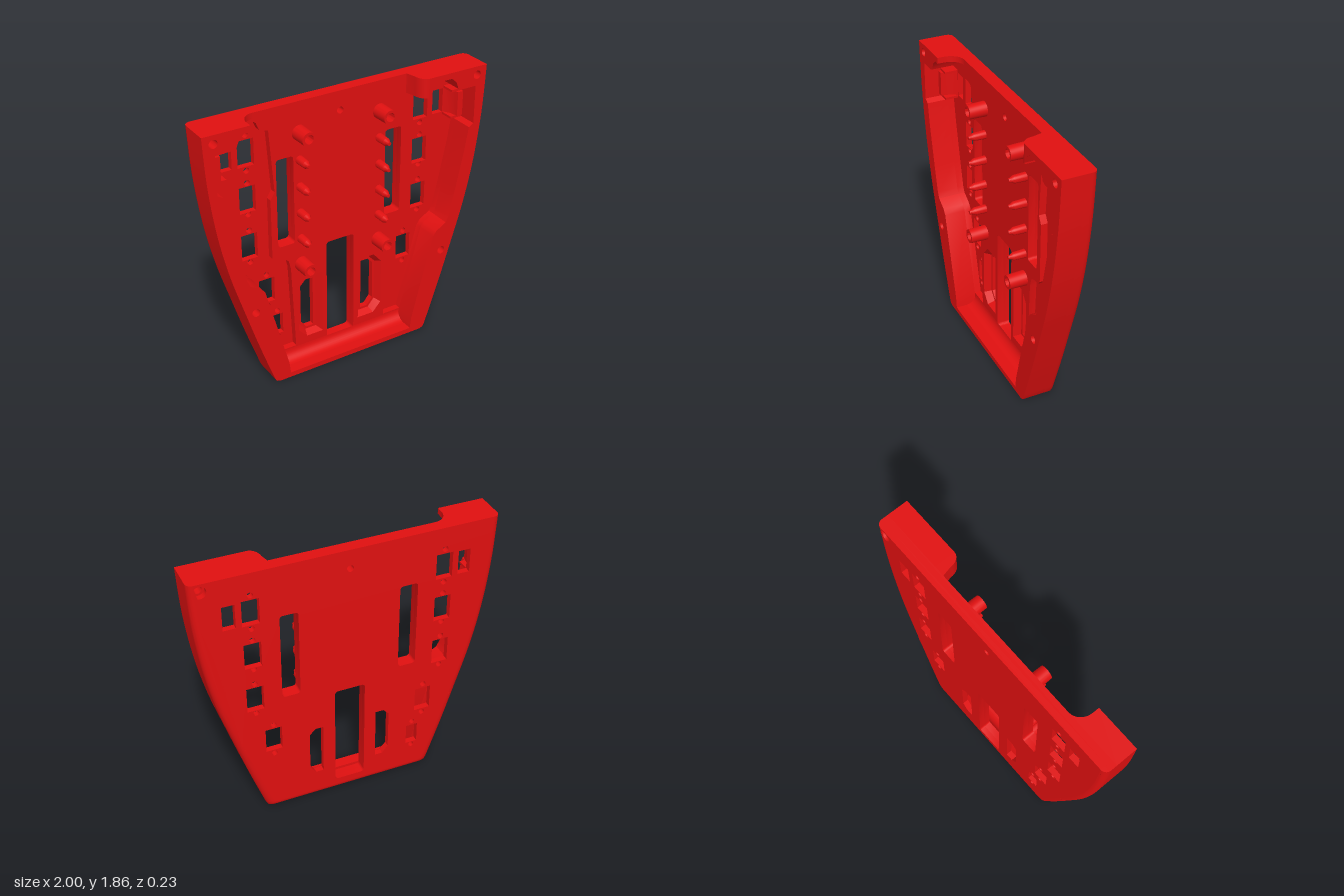
import * as THREE from 'three';
import { toCreasedNormals } from 'three/addons/utils/BufferGeometryUtils.js';

const H = 1.86, BACK = -0.115, POCKET = -0.075, FLOOR = -0.03, FRONT = 0.115;
const red = new THREE.MeshStandardMaterial({ color: 0xe01010 });
const redThin = new THREE.MeshStandardMaterial({ color: 0xe01010, side: THREE.DoubleSide });

const V = (p) => new THREE.Vector2(p[0], p[1]);
const mirror = (pts) => pts.map(([x, y]) => [-x, y]);
const rect = (x0, x1, y0, y1) => [[x0, y0], [x1, y0], [x1, y1], [x0, y1]];
const circle = (x, y, r, n = 24) => Array.from({ length: n }, (_, i) => {
  const a = (i / n) * Math.PI * 2;
  return [x + r * Math.cos(a), y + r * Math.sin(a)];
});
const roundRect = (x0, x1, y0, y1, r) => {
  const out = [];
  [[x1 - r, y1 - r], [x0 + r, y1 - r], [x0 + r, y0 + r], [x1 - r, y0 + r]].forEach(([cx, cy], q) => {
    for (let i = 0; i <= 5; i++) {
      const a = (q + i / 5) * Math.PI / 2;
      out.push([cx + r * Math.cos(a), cy + r * Math.sin(a)]);
    }
  });
  return out;
};

// Flat slab between two depths, with holes
function slab(outline, holes, z0, z1) {
  const s = new THREE.Shape(outline.map(V));
  s.holes = holes.map((h) => new THREE.Path(h.map(V)));
  const g = new THREE.ExtrudeGeometry(s, { depth: z1 - z0, bevelEnabled: false });
  g.translate(0, 0, z0);
  return toCreasedNormals(g, 0.5);
}

// Skin joining closed rings of equal point count; each ring is { pts, z }
function loft(rings, crease = 0.5) {
  const pos = [], n = rings[0].pts.length;
  const at = (r, i) => [...rings[r].pts[i % n], rings[r].z];
  for (let r = 0; r < rings.length - 1; r++) {
    for (let i = 0; i < n; i++) {
      const a = at(r, i), b = at(r, i + 1), c = at(r + 1, i + 1), d = at(r + 1, i);
      pos.push(...a, ...b, ...c, ...a, ...c, ...d);
    }
  }
  const g = new THREE.BufferGeometry();
  g.setAttribute('position', new THREE.Float32BufferAttribute(pos, 3));
  return toCreasedNormals(g, crease);
}

// Prism with an (x, z) section running from y0 to y1
function prismY(section, y0, y1) {
  const s = new THREE.Shape(section.map(([x, z]) => new THREE.Vector2(x, -z)));
  const g = new THREE.ExtrudeGeometry(s, { depth: y1 - y0, bevelEnabled: false });
  g.rotateX(-Math.PI / 2).translate(0, y0, 0);
  return toCreasedNormals(g, 0.5);
}

export function createModel() {
  const model = new THREE.Group();
  const add = (name, geo, mat = red) => {
    const m = new THREE.Mesh(geo, mat);
    m.name = name;
    model.add(m);
    return m;
  };

  // Outer outline: straight top, bowed sides, narrow bottom
  const bow = new THREE.SplineCurve([[0.59, 0.035], [0.685, 0.31], [0.777, 0.6], [0.868, 0.9],
    [0.935, 1.2], [0.98, 1.53], [1, H]].map(V)).getPoints(30).map((v) => [v.x, v.y]);
  const rightSide = [[0.55, 0], [0.577, 0.01], ...bow];
  const outline = [...rightSide, ...mirror(rightSide).reverse()];
  const inset = (d) => outline.map(([x, y]) => [x - Math.sign(x) * d, d + y * (H - d) / H]);

  // Outer wall of a side pocket from its top bump down to the foot
  const wall = [[0.56, 1.74], [0.58, 1.79], [0.625, 1.82], [0.73, 1.82], [0.765, 1.79], [0.785, 1.74],
    [0.81, 1.73], [0.92, 1.73], [0.92, 1.47], [0.885, 1.45], [0.86, 1.3], [0.8, 1.02], [0.755, 0.83],
    [0.735, 0.79], [0.66, 0.745], [0.635, 0.71], [0.48, 0.115]];
  const pocket = [[0.5, 1.72], ...wall, [0.345, 0.115], [0.37, 0.72], [0.385, 0.78], [0.41, 0.8],
    [0.48, 0.81], [0.5, 0.835], [0.5, 1.25], [0.47, 1.3]];

  // Openings
  const slot = roundRect(0.335, 0.456, 0.9, 1.51, 0.02);
  const centreSlot = roundRect(-0.105, 0.102, 0.085, 0.83, 0.02);
  const windowOuter = [[0.32, 0.55], [0.26, 0.62], [0.138, 0.62], [0.138, 0.16], [0.26, 0.16], [0.32, 0.225]];
  const windowInner = [[0.28, 0.53], [0.24, 0.57], [0.186, 0.57], [0.186, 0.2], [0.24, 0.2], [0.28, 0.25]];
  const switches = [rect(0.577, 0.688, 1.5, 1.677), rect(0.577, 0.688, 1.187, 1.365),
    rect(0.577, 0.688, 0.855, 1.033), rect(0.468, 0.578, 0.495, 0.67), rect(0.727, 0.808, 1.505, 1.67),
    ...[1.708, 1.472, 1.388, 1.173, 1.06, 0.832].map((y) => circle(0.632, y, 0.02)),
    ...[0.7, 0.466].map((y) => circle(0.523, y, 0.02))];
  const lowerSwitch = [rect(-0.494, -0.414, 0.225, 0.375), circle(-0.454, 0.405, 0.019), circle(-0.454, 0.203, 0.019)];
  const screws = (r1, r2) => [circle(0.928, 1.803, r1), circle(0.705, 0.585, r2)];
  const both = (list) => [...list, ...list.map(mirror)];
  const centre = [centreSlot, circle(0, 1.73, 0.023)];

  // Thin back plate with a rounded border
  add('backPlate', slab(inset(0.04),
    [...both([...switches, slot, windowInner, ...screws(0.042, 0.031)]), ...lowerSwitch, ...centre], BACK, POCKET));
  const rings = Array.from({ length: 8 }, (_, i) => {
    const a = (i / 7) * Math.PI / 2;
    return { pts: inset(0.04 * (1 - Math.sin(a))), z: POCKET - 0.04 * Math.cos(a) };
  });
  add('roundedBackEdge', loft(rings, 0.6), redThin);

  // Raised centre floor, cut away at the side pockets
  add('centreFloor', slab(outline,
    [...both([pocket, slot, windowOuter, ...screws(0.028, 0.028)]), ...centre], POCKET, FLOOR));

  // Full-depth rim, open at the top
  const rim = [...mirror(rightSide).reverse(), ...rightSide,
    [0.56, H], ...wall, [0.47, 0.035],
    [-0.47, 0.035], ...mirror(wall.slice(3)).reverse(), [-0.69, 1.82], [-0.69, H]];
  add('rim', slab(rim, both(screws(0.028, 0.028)), FLOOR, FRONT));

  // Curved ends of the top opening
  const arc = (cx, cz, rx, rz, a0, a1) => Array.from({ length: 9 }, (_, i) => {
    const a = a0 + (a1 - a0) * i / 8;
    return [cx + rx * Math.cos(a), cz + rz * Math.sin(a)];
  });
  add('topOpeningFillet', prismY(
    [[-0.69, FLOOR], ...arc(-0.6, 0.07, 0.09, 0.1, 1.5 * Math.PI, Math.PI)], 1.82, H));
  add('topOpeningShoulder', prismY(
    [[0.56, FLOOR], [0.485, FLOOR], ...arc(0.56, 0.03, 0.06, 0.085, Math.PI, Math.PI / 2)], 1.73, H));

  // Concave fillet along the bottom wall
  const fillet = new THREE.Shape([[0.035, FLOOR], ...arc(0.105, 0.04, 0.07, 0.07, 1.5 * Math.PI, Math.PI)].map(
    ([y, z]) => new THREE.Vector2(-z, y)));
  const filletGeo = new THREE.ExtrudeGeometry(fillet, { depth: 0.94, bevelEnabled: false });
  filletGeo.rotateY(Math.PI / 2).translate(-0.47, 0, 0);
  add('bottomFillet', toCreasedNormals(filletGeo, 0.5));

  // Standoffs: two hollow screw bosses and four pegs per side
  const boss = new THREE.LatheGeometry([[0.05, 0], [0.047, 0.12], [0.03, 0.12], [0.03, 0.05], [0, 0.05]].map(V), 28);
  const peg = new THREE.LatheGeometry([[0.029, 0], [0.026, 0.08], [0.015, 0.1], [0.012, 0.115], [0, 0.115]].map(V), 20);
  for (const g of [boss, peg]) g.rotateX(Math.PI / 2);
  const bossGeo = toCreasedNormals(boss, 0.5), pegGeo = toCreasedNormals(peg, 0.5);

  for (const s of [1, -1]) {
    const side = s > 0 ? 'left' : 'right';
    for (const y of [1.655, 0.735]) add(side + 'ScrewBoss', bossGeo, redThin).position.set(s * 0.29, y, FLOOR);
    for (const y of [1.472, 1.288, 1.105, 0.92]) add(side + 'Peg', pegGeo, redThin).position.set(s * 0.29, y, FLOOR);

    // Sloped sides of the lower window
    const m = (pts) => (s > 0 ? pts : mirror(pts));
    add(side + 'WindowFunnel', loft([{ pts: m(windowOuter), z: FLOOR }, { pts: m(windowInner), z: BACK + 0.01 }]), redThin);

    // Ramped holder beside the outer switch opening
    const ramp = [[0.812, POCKET], [0.89, POCKET], [0.89, 0.03], [0.85, 0.03], [0.84, -0.03]];
    add(side + 'SwitchRamp', prismY(s > 0 ? ramp : mirror(ramp), 1.505, 1.67));
    for (const y of [1.495, 1.68]) {
      const rib = add(side + 'SwitchRib', new THREE.BoxGeometry(0.08, 0.015, 0.09));
      rib.position.set(s * 0.85, y, POCKET + 0.045);
    }
  }
  return model;
}
